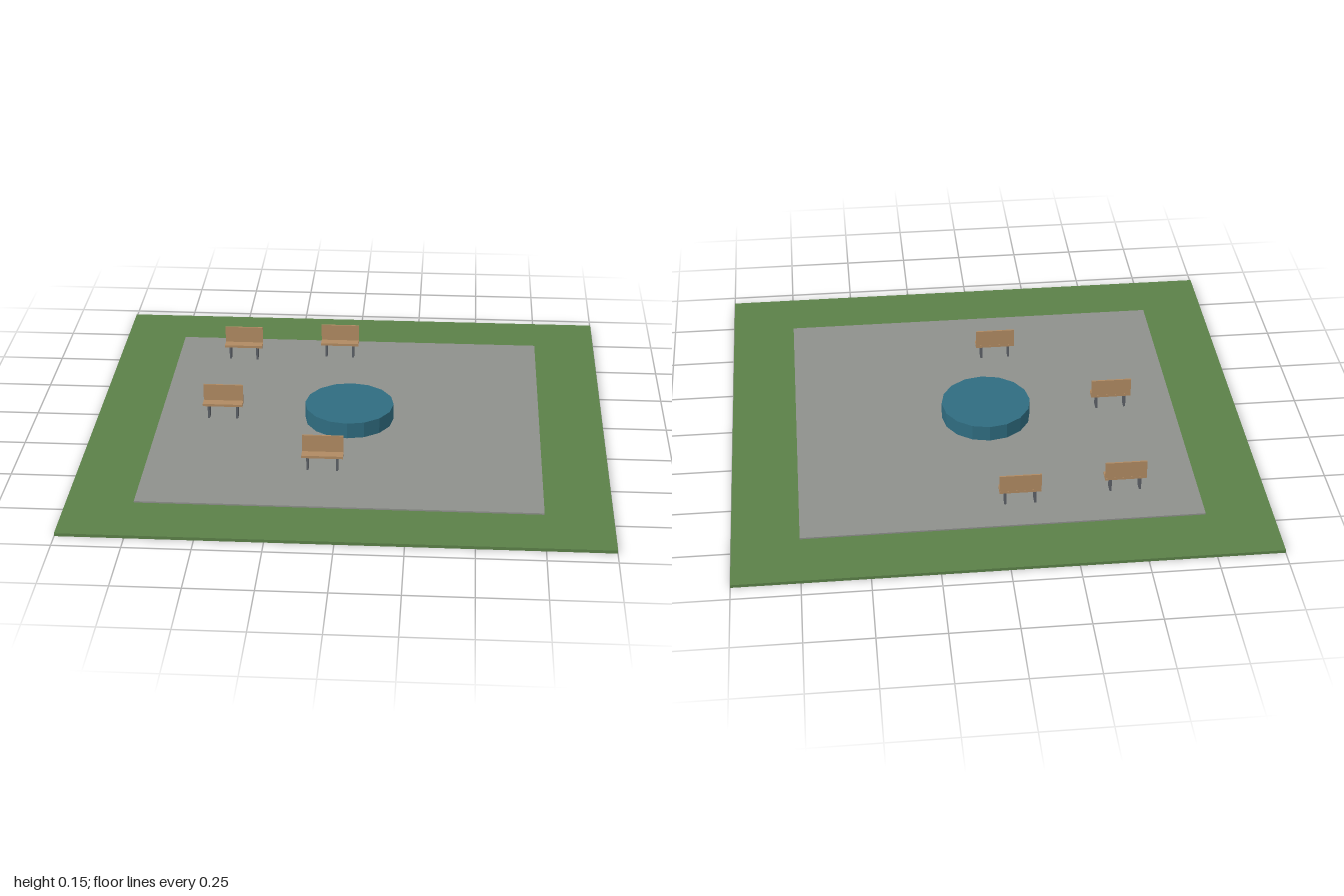
import * as THREE from 'three';

const material = (color) => new THREE.MeshStandardMaterial({ color, flatShading: true });
const grass = material(0x5b8048);
const paving = material(0x8e908c);
const water = material(0x2f6c80);
const wood = material(0xb08a62);
const metal = material(0x5c6066);

const GROUND_TOP = 0.012;
const PLAZA_TOP = 0.018;

// Box whose bottom face sits at height y
function box(name, mat, w, h, d, x, y, z) {
  const mesh = new THREE.Mesh(new THREE.BoxGeometry(w, h, d), mat);
  mesh.name = name;
  mesh.position.set(x, y + h / 2, z);
  return mesh;
}

// Bench facing +z, standing on the plaza
function createBench(x, z) {
  const bench = new THREE.Group();
  bench.name = 'bench';
  bench.add(box('benchSeat', wood, 0.157, 0.01, 0.043, 0, 0.054, 0));
  bench.add(box('benchBack', wood, 0.157, 0.07, 0.006, 0, 0.062, -0.018));
  for (const side of [-1, 1]) {
    bench.add(box('benchLeg', metal, 0.008, 0.054, 0.034, side * 0.056, 0, 0));
  }
  bench.position.set(x, PLAZA_TOP, z);
  return bench;
}

export function createModel() {
  const park = new THREE.Group();
  park.name = 'parkPlaza';

  // Lawn and raised paving
  park.add(box('lawn', grass, 2, GROUND_TOP, 1.875, 0, 0, 0));
  park.add(box('plaza', paving, 1.5, PLAZA_TOP - GROUND_TOP, 1.41, 0, GROUND_TOP, 0));

  // Round sixteen-sided pool
  const poolHeight = 0.064;
  const pool = new THREE.Mesh(new THREE.CylinderGeometry(0.175, 0.175, poolHeight, 16), water);
  pool.name = 'pool';
  pool.position.y = PLAZA_TOP + poolHeight / 2;
  park.add(pool);

  // Benches
  const spots = [[-0.475, -0.52], [-0.073, -0.563], [-0.5, 0.02], [-0.077, 0.42]];
  for (const [x, z] of spots) park.add(createBench(x, z));

  return park;
}
